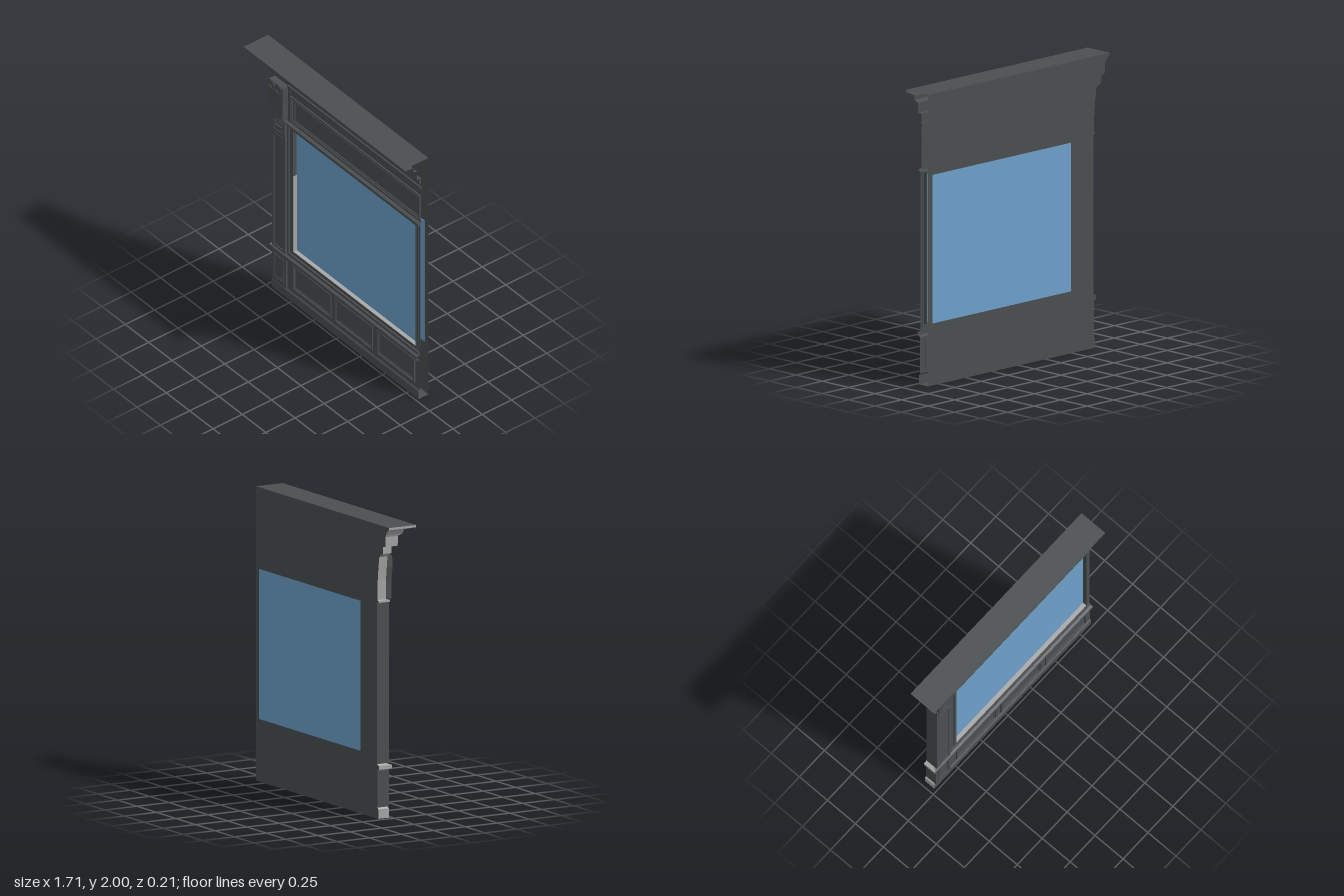
import * as THREE from 'three';

const mat = (name, color) => Object.assign(new THREE.MeshStandardMaterial({ color, side: THREE.DoubleSide }), { name });
const BACK = -0.105, END = 0.856, WALL = -0.035;

// Outer corner of the shell from plinth to cornice: x of the return, y, z of the front
const corner = [
  [-0.715, 0, -0.02], [-0.715, 0.065, -0.02], [-0.705, 0.075, -0.03],
  [-0.705, 0.325, -0.03], [-0.725, 0.335, -0.005], [-0.725, 0.36, -0.005], [-0.7, 0.37, WALL],
  [-0.7, 1.462, WALL], [-0.715, 1.467, -0.015], [-0.715, 1.48, -0.015], [-0.705, 1.485, -0.04],
  [-0.708, 1.62, -0.04], [-0.714, 1.68, -0.04], [-0.727, 1.78, -0.04],
  [-0.745, 1.795, -0.04], [-0.775, 1.81, -0.04], [-0.775, 1.86, -0.04],
  [-0.805, 1.862, -0.008], [-0.808, 1.93, -0.008], [-0.815, 1.945, 0.024],
  [-0.835, 1.975, 0.024], [-0.856, 1.985, 0.105], [-0.856, 2, 0.105],
];

const rect = (T, x0, x1, y0, y1) => {
  const p = new T();
  p.moveTo(x0, y0); p.lineTo(x1, y0); p.lineTo(x1, y1); p.lineTo(x0, y1); p.closePath();
  return p;
};

const polygon = (pts) => new THREE.Shape(pts.map(([x, y]) => new THREE.Vector2(x, y)));

function quads(list) {
  const pos = [];
  for (const [a, b, c, d] of list) pos.push(...a, ...b, ...c, ...a, ...c, ...d);
  const g = new THREE.BufferGeometry();
  g.setAttribute('position', new THREE.Float32BufferAttribute(pos, 3));
  g.computeVertexNormals();
  return g;
}

export function createModel() {
  const root = new THREE.Group();
  root.name = 'shopfront';
  const dark = mat('charcoalPaint', 0x4b4f50);
  const light = mat('paleGrey', 0xa8a8a8);
  const blue = mat('glassBlue', 0x6ea1cc);

  const add = (name, geo, material = dark) => {
    const m = new THREE.Mesh(geo, material);
    m.name = name;
    root.add(m);
    return m;
  };
  const box = (name, x0, x1, y0, y1, z0, z1, material) =>
    add(name, new THREE.BoxGeometry(x1 - x0, y1 - y0, z1 - z0), material)
      .position.set((x0 + x1) / 2, (y0 + y1) / 2, (z0 + z1) / 2);
  const extrude = (name, shape, z0, z1) =>
    add(name, new THREE.ExtrudeGeometry(shape, { depth: z1 - z0, bevelEnabled: false, curveSegments: 10 }))
      .position.z = z0;
  const frame = (name, x0, x1, y0, y1, b, z0, z1) => {
    const s = rect(THREE.Shape, x0, x1, y0, y1);
    s.holes.push(rect(THREE.Path, x0 + b, x1 - b, y0 + b, y1 - b));
    extrude(name, s, z0, z1);
  };

  // Shell, open at the +x end: front mouldings and their returns on the other side
  const front = [], darkReturn = [], paleReturn = [];
  for (let i = 0; i < corner.length - 1; i++) {
    const a = corner[i], b = corner[i + 1];
    const isWindowWall = a[1] === 0.37;
    if (!isWindowWall) front.push([a, [END, a[1], a[2]], [END, b[1], b[2]], b]);
    const plain = isWindowWall || a[1] === 0.075;
    (plain ? darkReturn : paleReturn).push([[a[0], a[1], BACK], a, b, [b[0], b[1], BACK]]);
  }
  const top = corner[corner.length - 1], foot = corner[0];
  front.push([top, [END, 2, top[2]], [END, 2, BACK], [top[0], 2, BACK]]);
  front.push([[foot[0], 0, BACK], [END, 0, BACK], [END, 0, foot[2]], foot]);
  add('frontMouldings', quads(front));
  add('sideWall', quads(darkReturn));
  add('sideMouldings', quads(paleReturn), light);

  // Walls pierced by the window
  const win = [-0.49, 0.815, 0.425, 1.445];
  const wall = rect(THREE.Shape, -0.7, END, 0.37, 1.462);
  wall.holes.push(rect(THREE.Path, ...win));
  add('windowWall', new THREE.ShapeGeometry(wall)).position.z = WALL;
  const back = polygon([[END, 0], [END, 2], ...corner.map(([x, y]) => [x, y]).reverse()]);
  back.holes.push(rect(THREE.Path, ...win));
  const backGeo = new THREE.ShapeGeometry(back).rotateY(Math.PI).scale(-1, 1, 1);
  const idx = backGeo.index.array;
  for (let i = 0; i < idx.length; i += 3) [idx[i], idx[i + 1]] = [idx[i + 1], idx[i]];
  backGeo.computeVertexNormals();
  // Keep the rear face turned outward
  if (backGeo.attributes.normal.getZ(0) > 0) {
    for (let i = 0; i < idx.length; i += 3) [idx[i], idx[i + 1]] = [idx[i + 1], idx[i]];
    backGeo.computeVertexNormals();
  }
  add('backWall', backGeo).position.z = BACK;

  // Window: glass, reveals and surround
  const [wx0, wx1, wy0, wy1] = win;
  box('frontGlass', wx0, wx1, wy0, wy1, -0.06, -0.055, blue);
  box('rearGlass', wx0, wx1, wy0, wy1, BACK, BACK + 0.004, blue);
  frame('windowSurround', wx0 - 0.025, wx1 + 0.025, wy0 - 0.025, wy1 + 0.012, 0.012, -0.04, -0.03);
  frame('windowFrame', wx0 - 0.012, wx1 + 0.012, wy0 - 0.012, wy1 + 0.012, 0.012, -0.06, -0.026);
  box('sillReveal', wx0, wx1, wy0, wy0 + 0.003, -0.055, -0.026, light);
  box('sideReveal', wx0, wx0 + 0.003, wy0, 1.06, -0.055, -0.026, light);
  box('sillMoulding', -0.55, 0.85, 0.37, 0.39, WALL, -0.022);
  box('jambStrip', -0.555, -0.535, 0.37, 1.462, WALL, -0.024);

  // Three panels under the window
  for (const x of [-0.49, -0.045, 0.405]) {
    frame('lowerPanelFrame', x, x + 0.405, 0.11, 0.31, 0.012, -0.032, -0.02);
    frame('lowerPanelInnerFrame', x + 0.018, x + 0.387, 0.128, 0.292, 0.008, -0.032, -0.026);
  }

  // Pilaster with pedestal, sunk shaft panel and small capital
  box('pedestal', -0.705, -0.555, 0.075, 0.33, -0.04, -0.016);
  frame('pedestalPanel', -0.685, -0.575, 0.11, 0.31, 0.012, -0.017, -0.011);
  box('pilasterShaft', -0.7, -0.56, 0.37, 1.462, -0.04, -0.02);
  frame('pilasterFrame', -0.7, -0.56, 0.37, 1.35, 0.016, -0.022, -0.013);
  box('capitalBlock', -0.7, -0.56, 1.35, 1.462, -0.022, -0.013);
  frame('capitalPanel', -0.685, -0.567, 1.36, 1.442, 0.012, -0.014, -0.008);
  box('capitalLozenge', -0.66, -0.592, 1.385, 1.418, -0.014, -0.006);
  extrude('pilasterDrop', polygon([[-0.685, 1.34], [-0.685, 1.32], [-0.66, 1.295], [-0.65, 1.27], [-0.635, 1.265],
    [-0.627, 1.25], [-0.618, 1.265], [-0.605, 1.275], [-0.595, 1.3], [-0.57, 1.32], [-0.57, 1.34]]), -0.022, -0.01);

  // Scrolled bracket
  const bracket = polygon([[-0.697, 1.485], [-0.562, 1.5], [-0.562, 1.64], [-0.557, 1.7], [-0.557, 1.78],
    [-0.705, 1.78], [-0.71, 1.7], [-0.7, 1.62]]);
  extrude('bracket', bracket, -0.045, 0.009);
  for (const side of [-1, 1]) {
    const scroll = add('bracketScroll', new THREE.TorusGeometry(0.028, 0.005, 6, 18, Math.PI * 1.5));
    scroll.position.set(-0.631 + side * 0.04, 1.745, 0.009);
    scroll.rotation.z = side < 0 ? 0 : -Math.PI / 2;
  }
  extrude('bracketDart', polygon([[-0.66, 1.715], [-0.631, 1.695], [-0.602, 1.715], [-0.631, 1.725]]), 0.005, 0.013);

  // Frieze panel and mouldings running off at the open end
  frame('friezeOuterFrame', -0.525, END, 1.5, 1.715, 0.014, -0.042, -0.03);
  frame('friezeInnerFrame', -0.495, END, 1.52, 1.693, 0.01, -0.042, -0.033);
  box('friezeLedge', -0.555, END, 1.77, 1.79, -0.045, -0.03);
  box('friezeStile', -0.556, -0.535, 1.485, 1.77, -0.045, -0.036);
  box('corniceFascia', -0.515, END, 1.81, 1.86, -0.042, -0.028);
  return root;
}
